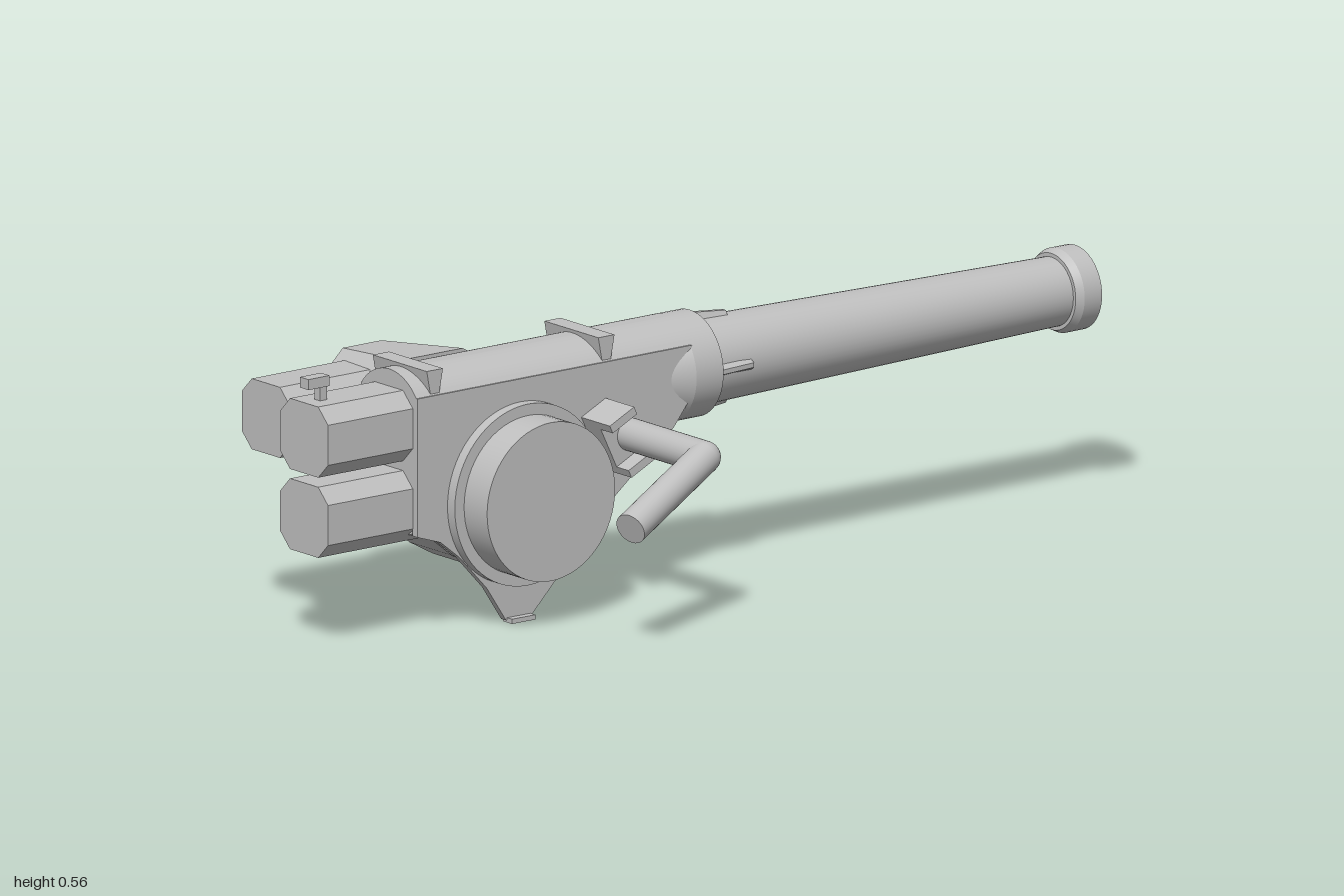
import * as THREE from 'three';
import { toCreasedNormals } from 'three/addons/utils/BufferGeometryUtils.js';

const AXIS_Y = 0.439, AXIS_Z = -0.089;   // main barrel axis
const HUB_X = -0.512, HUB_Y = 0.267;     // side drum axis

export function createModel() {
  const model = new THREE.Group();
  const steel = new THREE.MeshStandardMaterial({ color: 0xbfbfbf });
  steel.name = 'lightGreySteel';

  const add = (name, geo, x = 0, y = 0, z = 0, parent = model) => {
    const mesh = new THREE.Mesh(geo, steel);
    mesh.name = name;
    mesh.position.set(x, y, z);
    parent.add(mesh);
    return mesh;
  };
  const shapeOf = pts => new THREE.Shape(pts.map(p => new THREE.Vector2(p[0], p[1])));
  // profile in x,y swept from z0 to z1
  const slab = (shape, z0, z1, bevel = 0) => {
    const geo = new THREE.ExtrudeGeometry(shape, {
      depth: z1 - z0 - 2 * bevel, bevelEnabled: bevel > 0, bevelSegments: 1,
      bevelSize: bevel, bevelThickness: bevel, bevelOffset: -bevel, curveSegments: 32,
    });
    geo.translate(0, 0, z0 + bevel);
    return toCreasedNormals(geo, 0.45);
  };
  // profile in -z,y swept from x0 to x1
  const sweepX = (shape, x0, x1) => {
    const geo = new THREE.ExtrudeGeometry(shape, { depth: x1 - x0, bevelEnabled: false, curveSegments: 32 });
    geo.rotateY(Math.PI / 2).translate(x0, 0, 0);
    return toCreasedNormals(geo, 0.45);
  };
  // cylinders along x and along z
  const rodX = (r0, r1, x0, x1) => new THREE.CylinderGeometry(r1, r0, x1 - x0, 48)
    .rotateZ(-Math.PI / 2).translate((x0 + x1) / 2, 0, 0);
  const rodZ = (r, z0, z1, sides = 64) => {
    const geo = new THREE.CylinderGeometry(r, r, z1 - z0, sides).rotateX(Math.PI / 2);
    geo.translate(0, 0, (z0 + z1) / 2);
    return sides < 12 ? toCreasedNormals(geo, 0.3) : geo;
  };
  // move every vertex by a rule, then rebuild the normals
  const reshape = (geo, rule) => {
    const p = geo.attributes.position, v = new THREE.Vector3();
    for (let i = 0; i < p.count; i++) {
      rule(v.fromBufferAttribute(p, i));
      p.setXYZ(i, v.x, v.y, v.z);
    }
    return toCreasedNormals(geo, 0.3);
  };

  // Barrel, muzzle flange and collar
  add('barrel', rodX(0.091, 0.072, -0.02, 0.95), 0, AXIS_Y, AXIS_Z);
  add('muzzleTaper', rodX(0.08, 0.088, 0.938, 0.955), 0, AXIS_Y, AXIS_Z);
  add('muzzleFlange', rodX(0.088, 0.088, 0.955, 1), 0, AXIS_Y, AXIS_Z);
  add('collarTaper', rodX(0.09, 0.111, -0.13, -0.07), 0, AXIS_Y, AXIS_Z);
  add('collar', rodX(0.111, 0.111, -0.07, 0), 0, AXIS_Y, AXIS_Z);

  // Four wedge studs around the barrel root
  const stud = shapeOf([[-0.016, 0.08], [0.016, 0.08], [0.005, 0.107], [-0.005, 0.107]]);
  for (let i = 0; i < 4; i++) {
    const geo = reshape(sweepX(stud, -0.01, 0.09), v => {
      if (v.x > 0.05 && v.y > 0.1) v.y -= 0.01;
    });
    add('barrelStud', geo, 0, AXIS_Y, AXIS_Z).rotation.x = i * Math.PI / 2;
  }

  // Housing body: flat-sided block under a rounded roof
  const tail = [[-0.78, 0.505], [-0.78, 0.215], [-0.72, 0.195], [-0.67, 0.155]];
  const nose = [[-0.375, 0.135], [-0.18, 0.29], [-0.115, 0.34], [-0.075, 0.39], [-0.058, 0.45], [-0.07, 0.505]];
  const belly = [[-0.61, 0.122], [-0.56, 0.109], [-0.47, 0.109], [-0.42, 0.118]];
  add('housingBody', slab(shapeOf([...tail, ...belly, ...nose]), -0.18, -0.002, 0.02));
  const sides = [[-0.78, 0.505], [-0.78, 0.26], [-0.6, 0.2], [-0.42, 0.2], [-0.12, 0.4], [-0.07, 0.505]];
  add('housingSides', slab(shapeOf(sides), -0.18, 0));
  const roof = new THREE.Shape();
  const a0 = Math.acos(0.09 / 0.111);
  roof.absarc(0, 0, 0.111, a0, Math.PI - a0, false);
  roof.lineTo(-0.09, -0.05);
  roof.lineTo(0.09, -0.05);
  add('housingRoof', sweepX(roof, -0.78, -0.06), 0, AXIS_Y, AXIS_Z);

  // Front plate with pointed foot
  const foot = [[-0.6, 0.08], [-0.55, 0.005], [-0.485, 0.005], [-0.41, 0.08]];
  add('sidePlate', slab(shapeOf([...tail, ...foot, ...nose]), -0.012, 0.004));
  add('footTab', new THREE.BoxGeometry(0.06, 0.01, 0.03), -0.517, 0.005, 0.005);
  const gusset = shapeOf([[0.01, 0.05], [0.07, 0.065], [0.08, 0.08], [0.08, 0.14], [0.01, 0.14]]);
  add('footGusset', reshape(sweepX(gusset, -0.08, 0.08), v => {
    v.x *= 0.3 + 0.7 * (v.y - 0.05) / 0.09;
  }), -0.515);

  // Roof brackets
  const bracket = [[-0.01, 0.5], [0.01, 0.5], [0.021, 0.557], [-0.021, 0.557]];
  for (const x of [-0.73, -0.285]) add('roofBracket', slab(shapeOf(bracket), -0.178, -0.002), x);

  // Rear canisters with eight-sided section
  const oct = [[0.078, -0.042], [0.078, 0.042], [0.046, 0.074], [-0.046, 0.074],
    [-0.078, 0.042], [-0.078, -0.042], [-0.046, -0.074], [0.046, -0.074]];
  const canisters = [['upperCanister', -1, 0.44, AXIS_Z], ['lowerCanister', -1, 0.272, AXIS_Z],
    ['sideCanister', -0.96, 0.44, -0.264]];
  for (const [name, x, y, z] of canisters) add(name, sweepX(shapeOf(oct), x, x + 0.26), 0, y, z);

  // Small latch on the upper canister
  add('latchPost', new THREE.BoxGeometry(0.018, 0.06, 0.018), -0.957, 0.53, AXIS_Z);
  add('latchBar', new THREE.BoxGeometry(0.055, 0.022, 0.028), -0.9725, 0.554, AXIS_Z);

  // Side canister mount, undercut in front and tapering away from the body
  const mount = shapeOf([[-0.735, 0.34], [-0.56, 0.36], [-0.485, 0.48], [-0.5, 0.52],
    [-0.54, 0.543], [-0.7, 0.543], [-0.735, 0.51]]);
  add('canisterMount', reshape(slab(mount, -0.34, -0.15), v => {
    if (v.z > -0.3) return;
    if (v.x > -0.6) v.x -= 0.06;
    if (v.y > 0.5) v.y -= 0.012;
  }));

  // Rear hub and its end nut
  add('rearHub', rodZ(0.144, -0.343, -0.15, 8).rotateZ(Math.PI / 8), HUB_X, HUB_Y);
  add('rearHubNut', rodZ(0.103, -0.407, -0.33, 8), HUB_X, HUB_Y);

  // Front drum
  add('drumBase', rodZ(0.19, 0, 0.028), HUB_X, HUB_Y);
  add('drum', rodZ(0.166, 0.02, 0.103), HUB_X, HUB_Y);

  // Slotted crank bracket
  const block = new THREE.Group();
  block.name = 'crankBracket';
  block.position.set(-0.295, 0.356, 0);
  block.rotation.z = 0.45;
  model.add(block);
  add('bracketBase', new THREE.BoxGeometry(0.07, 0.13, 0.058), 0, 0, 0.029, block);
  for (const s of [-1, 1]) add('bracketCheek', new THREE.BoxGeometry(0.07, 0.018, 0.04), 0, s * 0.056, 0.077, block);

  // Crank shaft, elbow and grip
  const rod = (name, a, b, r) => {
    const d = b.clone().sub(a);
    const mesh = add(name, new THREE.CylinderGeometry(r, r, d.length(), 32));
    mesh.position.copy(a).addScaledVector(d, 0.5);
    mesh.quaternion.setFromUnitVectors(new THREE.Vector3(0, 1, 0), d.normalize());
  };
  const elbow = new THREE.Vector3(-0.27, 0.361, 0.298);
  rod('crankShaft', new THREE.Vector3(-0.27, 0.361, 0.055), elbow, 0.034);
  add('crankElbow', new THREE.SphereGeometry(0.034, 32, 16), elbow.x, elbow.y, elbow.z);
  rod('crankGrip', elbow, new THREE.Vector3(-0.52, 0.265, 0.372), 0.034);

  return model;
}
